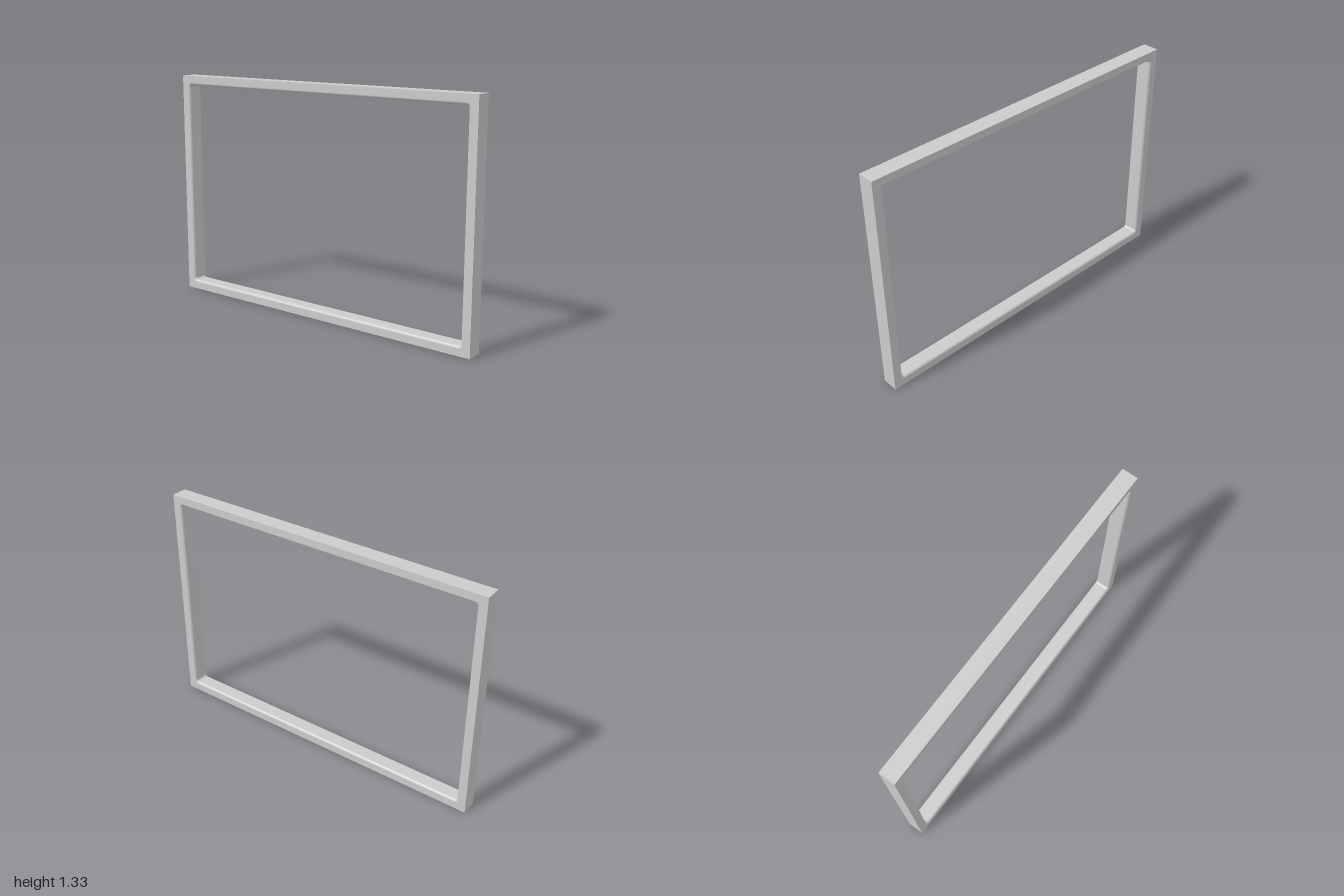
import * as THREE from 'three';

const W = 2, H = 1.327, D = 0.095;   // outer size
const RAIL = 0.055;                  // width of each rail
const CORNER = 0.015;                // corner radius of the opening
const ROUND = 0.015;                 // rounding of the opening's front and back edges
const STEPS = 8;

// Directions and centres around a rounded rectangle, counter-clockwise
function openingRing() {
  const cx = W / 2 - RAIL - CORNER, cy = H / 2 - RAIL - CORNER;
  const ring = [];
  [[1, 1], [-1, 1], [-1, -1], [1, -1]].forEach(([sx, sy], q) => {
    for (let i = 0; i <= STEPS; i++) {
      const a = (q + i / STEPS) * Math.PI / 2;
      ring.push({ cx: sx * cx, cy: sy * cy, dx: Math.cos(a), dy: Math.sin(a) });
    }
  });
  return ring;
}

// Inner wall of the opening: a half-rounded profile swept around the ring
function openingGeometry(ring) {
  const profile = [];   // [offset outwards, z, normal inwards, normal z]
  for (const side of [1, -1]) {
    for (let i = 0; i <= STEPS; i++) {
      const a = (side > 0 ? STEPS - i : i) / STEPS * Math.PI / 2;
      const n = Math.cos(a), nz = side * Math.sin(a);
      profile.push([ROUND * (1 - n), side * (D / 2 - ROUND) + ROUND * nz, n, nz]);
    }
  }
  const pos = [], nor = [], idx = [], m = profile.length;
  ring.forEach((p, i) => {
    for (const [off, z, n, nz] of profile) {
      const r = CORNER + off;
      pos.push(p.cx + p.dx * r, p.cy + p.dy * r, z);
      nor.push(-p.dx * n, -p.dy * n, nz);
    }
    const next = (i + 1) % ring.length;
    for (let j = 0; j < m - 1; j++) {
      const a = i * m + j, b = next * m + j;
      idx.push(a, a + 1, b, b, a + 1, b + 1);
    }
  });
  const g = new THREE.BufferGeometry();
  g.setAttribute('position', new THREE.Float32BufferAttribute(pos, 3));
  g.setAttribute('normal', new THREE.Float32BufferAttribute(nor, 3));
  g.setIndex(idx);
  return g;
}

export function createModel() {
  const group = new THREE.Group();
  group.name = 'rectangularFrame';
  const mat = new THREE.MeshStandardMaterial({ color: 0xcccccc, side: THREE.DoubleSide });
  const add = (name, geometry) => {
    const mesh = new THREE.Mesh(geometry, mat);
    mesh.name = name;
    mesh.position.y = H / 2;
    group.add(mesh);
    return mesh;
  };
  const ring = openingRing();

  // Flat front and back faces, cut out up to the rounded edge
  const face = new THREE.Shape([[-1, -1], [1, -1], [1, 1], [-1, 1]]
    .map(([x, y]) => new THREE.Vector2(x * W / 2, y * H / 2)));
  const r = CORNER + ROUND;
  face.holes.push(new THREE.Path(ring.map(p =>
    new THREE.Vector2(p.cx + p.dx * r, p.cy + p.dy * r))));
  const faceGeo = new THREE.ShapeGeometry(face);
  add('frontFace', faceGeo).position.z = D / 2;
  const back = add('backFace', faceGeo);
  back.rotation.y = Math.PI;
  back.position.z = -D / 2;

  // Rounded inner wall
  add('openingWall', openingGeometry(ring));

  // Sharp outer sides
  for (const s of [1, -1]) {
    const side = add(s > 0 ? 'leftSide' : 'rightSide', new THREE.PlaneGeometry(D, H));
    side.rotation.y = s * Math.PI / 2;
    side.position.x = s * W / 2;
    const end = add(s > 0 ? 'topSide' : 'bottomSide', new THREE.PlaneGeometry(W, D));
    end.rotation.x = -s * Math.PI / 2;
    end.position.y = s > 0 ? H : 0;
  }
  return group;
}
